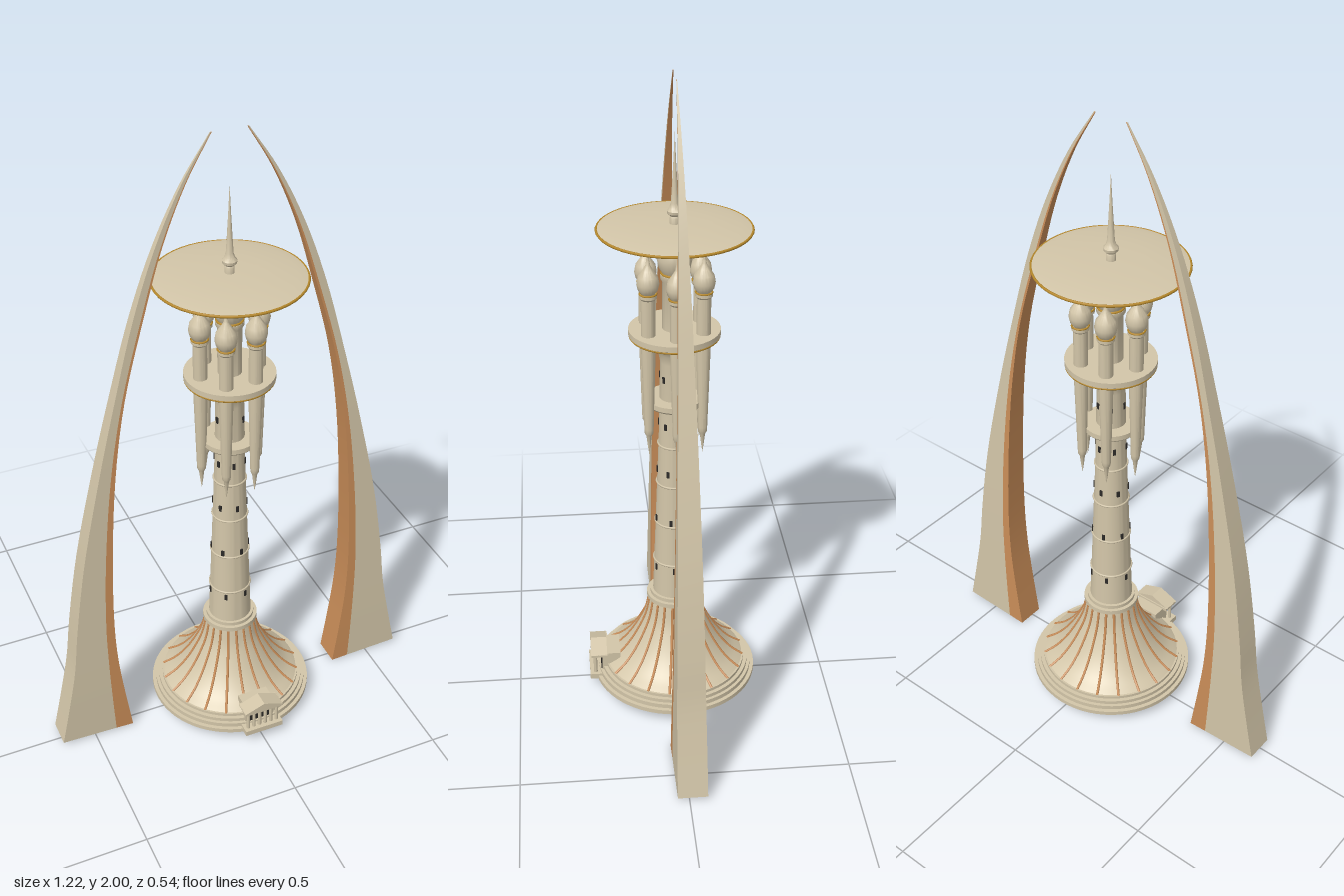
import * as THREE from 'three';
import { toCreasedNormals } from 'three/addons/utils/BufferGeometryUtils.js';

const material = (name, color, extra = {}) => {
  const m = new THREE.MeshStandardMaterial({ color, ...extra });
  m.name = name;
  return m;
};

export function createModel() {
  const stone = material('sandstone', 0xd2c5a8);
  const copper = material('copper', 0xc98d58);
  const gold = material('gold', 0xb88a2c);
  const dark = material('dark opening', 0x2c2a28);

  const model = new THREE.Group();
  model.name = 'tower';
  const core = new THREE.Group();
  core.name = 'towerCore';
  core.position.z = -0.01;
  model.add(core);

  const add = (parent, name, geometry, mat, x = 0, y = 0, z = 0) => {
    const mesh = new THREE.Mesh(geometry, mat);
    mesh.name = name;
    mesh.position.set(x, y, z);
    parent.add(mesh);
    return mesh;
  };
  // Turned part from [radius, height] pairs, listed from bottom to top
  const turned = (profile, sides = 48) => toCreasedNormals(
    new THREE.LatheGeometry(profile.map(([r, y]) => new THREE.Vector2(r, y)), sides), 0.6);
  const box = (w, h, d) => new THREE.BoxGeometry(w, h, d);
  const ring = (parent, name, r, y, t, mat) =>
    add(parent, name, new THREE.TorusGeometry(r, t, 6, 48).rotateX(Math.PI / 2), mat, 0, y, 0);

  // Curved arch blades: loft a rectangle between two edge curves
  const keys = [ // height, outer, seam, inner
    [0, 0.61, 0.428, 0.37], [0.15, 0.58, 0.434, 0.39], [0.3, 0.551, 0.438, 0.406],
    [0.45, 0.533, 0.438, 0.411], [0.7, 0.494, 0.424, 0.402], [1, 0.428, 0.39, 0.376],
    [1.25, 0.365, 0.342, 0.334], [1.5, 0.296, 0.272, 0.265], [1.7, 0.224, 0.207, 0.202],
    [1.87, 0.141, 0.131, 0.128], [2, 0.056, 0.053, 0.051],
  ];
  const edge = (col) => new THREE.CatmullRomCurve3(
    keys.map((k) => new THREE.Vector3(k[col], k[0] + (k[0] === 0 ? (col === 1 ? 0.01 : col === 2 ? 0.003 : 0) : 0), 0)));
  const blade = (outer, inner) => {
    const steps = 50, pos = [], idx = [];
    for (let i = 0; i <= steps; i++) {
      const a = outer.getPoint(i / steps), b = inner.getPoint(i / steps);
      const w = (y) => 0.001 + 0.044 * (1 - Math.pow(Math.min(1, Math.max(0, y / 2)), 1.5));
      const wa = w(a.y), wb = w(b.y);
      pos.push(a.x, a.y, wa, a.x, a.y, -wa, b.x, b.y, -wb, b.x, b.y, wb);
      if (i === steps) break;
      for (let j = 0; j < 4; j++) {
        const p = i * 4 + j, q = i * 4 + (j + 1) % 4;
        idx.push(p, q, q + 4, p, q + 4, p + 4);
      }
    }
    const e = steps * 4;
    idx.push(0, 2, 1, 0, 3, 2, e, e + 1, e + 2, e, e + 2, e + 3);
    const g = new THREE.BufferGeometry();
    g.setAttribute('position', new THREE.Float32BufferAttribute(pos, 3));
    g.setIndex(idx);
    return toCreasedNormals(g, 0.5);
  };
  const bladeBody = blade(edge(1), edge(2)), bladeLining = blade(edge(2), edge(3));
  for (const side of ['left', 'right']) {
    const arch = new THREE.Group();
    arch.name = side + 'Arch';
    arch.rotation.y = side === 'left' ? 0 : Math.PI;
    add(arch, 'archBody', bladeBody, stone);
    add(arch, 'archLining', bladeLining, copper);
    core.add(arch);
  }

  // Stepped plinth
  add(core, 'plinth', turned([[0, 0.032], [0.262, 0.032], [0.262, 0.046], [0.25, 0.046], [0.25, 0.06],
    [0.24, 0.06], [0.24, 0.072], [0.228, 0.072], [0.228, 0.082], [0, 0.082]], 64), stone);

  // Flared skirt with copper ribs
  const flare = new THREE.CatmullRomCurve3([[0.225, 0.08], [0.185, 0.108], [0.148, 0.15], [0.115, 0.205],
    [0.093, 0.255], [0.08, 0.315]].map(([r, y]) => new THREE.Vector3(r, y, 0)));
  add(core, 'skirt', turned(flare.getPoints(24).map((p) => [p.x, p.y]), 60), stone);
  const rib = new THREE.TubeGeometry(flare, 24, 0.0042, 6);
  for (let i = 0; i < 20; i++) {
    add(core, 'skirtRib', rib, copper).rotation.y = ((i + 0.5) / 20) * Math.PI * 2;
  }
  add(core, 'skirtCollar', turned([[0, 0.308], [0.08, 0.308], [0.08, 0.315], [0.088, 0.315], [0.088, 0.33],
    [0.077, 0.33], [0.077, 0.342], [0, 0.342]]), stone);

  // Shaft with flared head
  const shaftRadius = (y) => (y < 0.9 ? 0.068 - (y - 0.34) * 0.036 : 0.0478 - (y - 0.9) * 0.02);
  add(core, 'shaft', turned([[0.068, 0.34], [0.0478, 0.9], [0.0428, 1.15], [0.048, 1.18], [0.062, 1.205],
    [0.092, 1.232], [0, 1.235]]), stone);
  for (const y of [0.46, 0.6, 0.74, 0.875]) ring(core, 'shaftBand', shaftRadius(y) + 0.001, y, 0.0035, stone);

  // Slit windows, turning a little from storey to storey
  [0.44, 0.615, 0.785, 0.945, 1.1].forEach((y, level) => {
    for (let i = 0; i < 6; i++) {
      const pivot = new THREE.Group();
      pivot.name = 'windowPivot';
      pivot.rotation.y = (i / 6) * Math.PI * 2 + 0.45 - level * 0.2;
      add(pivot, 'window', box(0.009, 0.02, 0.006), dark, 0, y, shaftRadius(y));
      core.add(pivot);
    }
  });

  // Galleries
  add(core, 'lowerGallery', turned([[0.03, 1.01], [0.08, 1.01], [0.085, 1.016], [0.085, 1.032], [0.03, 1.032]]), stone);
  add(core, 'upperGallery', turned([[0, 1.232], [0.126, 1.232], [0.136, 1.24], [0.136, 1.257], [0, 1.257]]), stone);
  ring(core, 'upperGalleryTrim', 0.132, 1.236, 0.0035, gold);

  // Six hanging turrets with onion domes
  const turretBody = turned([[0, 0.862], [0.004, 0.89], [0.008, 0.925], [0.013, 0.935], [0.014, 0.95],
    [0.021, 1.2], [0.021, 1.37], [0.026, 1.376], [0.026, 1.386], [0, 1.386]], 20);
  const turretDome = turned([[0.019, 1.386], [0.029, 1.4], [0.033, 1.418], [0.029, 1.44], [0.016, 1.459],
    [0.007, 1.474], [0.004, 1.492], [0, 1.54]], 20);
  for (let i = 0; i < 6; i++) {
    const a = (i / 6) * Math.PI * 2, turret = new THREE.Group();
    turret.name = 'turret';
    turret.position.set(Math.cos(a) * 0.093, 0, Math.sin(a) * 0.093);
    add(turret, 'turretBody', turretBody, stone);
    add(turret, 'turretDome', turretDome, stone);
    ring(turret, 'turretTrim', 0.024, 1.387, 0.003, gold);
    core.add(turret);
  }

  // Central drum, dome and neck
  add(core, 'drum', turned([[0.036, 1.25], [0.036, 1.405], [0.042, 1.415], [0.042, 1.428], [0, 1.428]]), stone);
  ring(core, 'drumTrim', 0.038, 1.43, 0.004, gold);
  add(core, 'mainDome', turned([[0.034, 1.428], [0.046, 1.448], [0.052, 1.476], [0.047, 1.505],
    [0.032, 1.527], [0.016, 1.542], [0.01, 1.565]]), stone);

  // Wide crowning disc and finial
  add(core, 'crownDisc', turned([[0, 1.555], [0.15, 1.557], [0.222, 1.562], [0.222, 1.567], [0.19, 1.573],
    [0.1, 1.578], [0, 1.58]], 64), stone);
  ring(core, 'crownDiscRim', 0.222, 1.5645, 0.004, gold);
  add(core, 'finial', turned([[0.014, 1.575], [0.014, 1.598], [0.012, 1.602], [0.021, 1.61], [0.022, 1.618],
    [0.015, 1.628], [0.011, 1.64], [0.008, 1.69], [0.004, 1.76], [0, 1.845]], 20), stone);

  // Entrance portico
  const portico = new THREE.Group();
  portico.name = 'portico';
  add(portico, 'porticoFloor', box(0.13, 0.018, 0.095), stone, 0, 0.045, 0.2225);
  add(portico, 'porticoHall', box(0.1, 0.07, 0.06), stone, 0, 0.088, 0.2);
  add(portico, 'doorway', box(0.088, 0.062, 0.004), dark, 0, 0.085, 0.231);
  add(portico, 'porticoBeam', box(0.128, 0.01, 0.055), stone, 0, 0.124, 0.2375);
  for (let i = 0; i < 6; i++) {
    add(portico, 'porticoColumn', new THREE.CylinderGeometry(0.005, 0.006, 0.066, 10), stone,
      -0.05 + i * 0.02, 0.087, 0.252);
  }
  const gable = new THREE.Shape([[-0.066, 0.128], [0.066, 0.128], [0, 0.153]].map(([x, y]) => new THREE.Vector2(x, y)));
  add(portico, 'porticoGable', new THREE.ExtrudeGeometry(gable, { depth: 0.052, bevelEnabled: false }),
    stone, 0, 0, 0.214);
  model.add(portico);
  return model;
}
